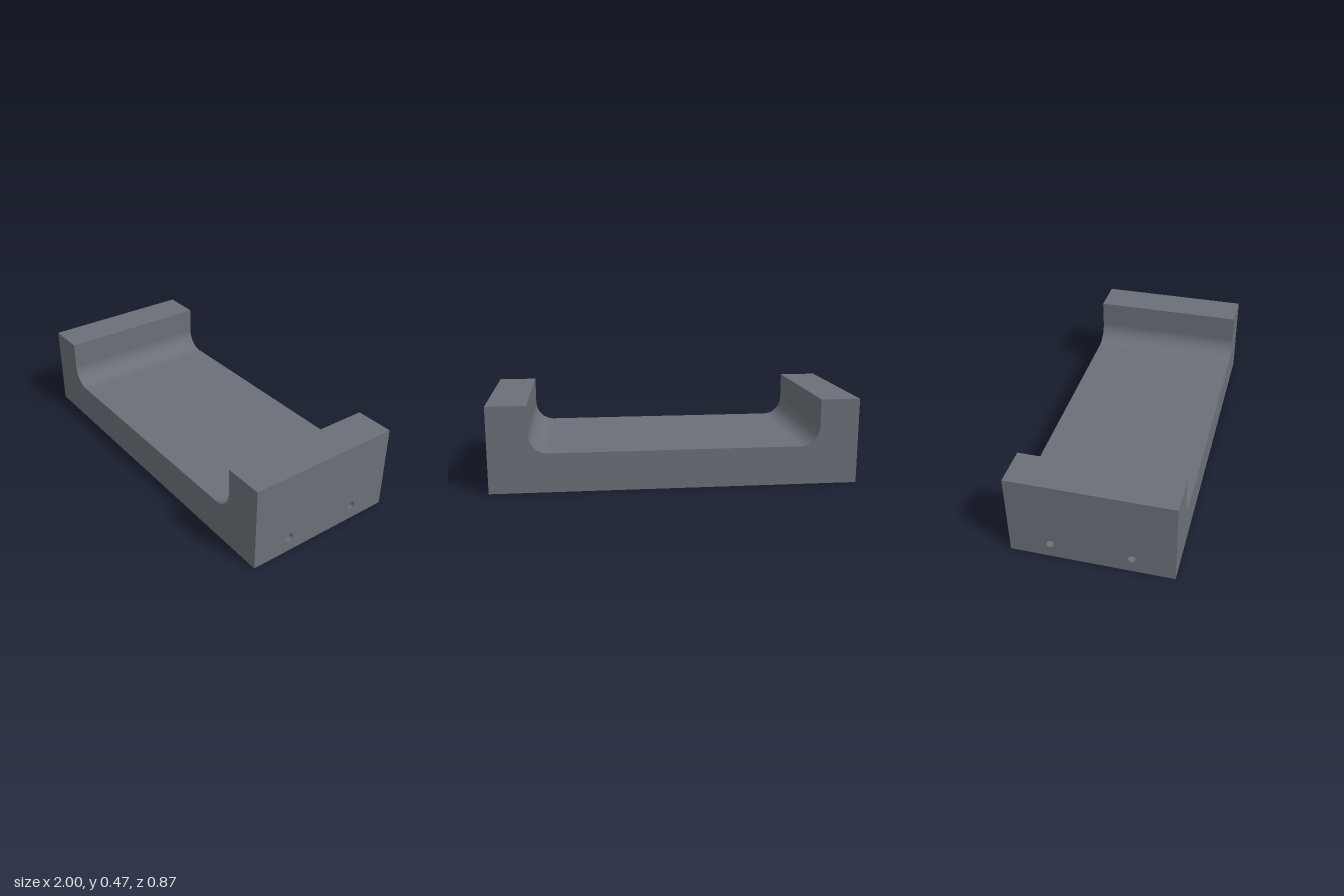
import * as THREE from 'three';

// Half width, height, half depth of the block
const W = 1, H = 0.471, D = 0.435;
// Trough: half width, floor height, fillet radius
const TW = 0.786, TF = 0.214, TR = 0.107;
// Blind holes in the ends
const HOLE = { r: 0.022, y: 0.086, z: 0.214, depth: 0.12 };

// Trough outline from left rim to right rim, each entry [x, y, normalX, normalY]
function troughProfile(steps = 16) {
  const left = [[-TW, H, 1, 0]];
  for (let i = 0; i <= steps; i++) {
    const a = Math.PI + (i / steps) * Math.PI / 2;
    const c = Math.cos(a), s = Math.sin(a);
    left.push([-TW + TR + TR * c, TF + TR + TR * s, -c, -s]);
  }
  const right = left.map(([x, y, nx, ny]) => [-x, y, -nx, ny]).reverse();
  return [...left, ...right];
}

// Sweep the outline from front to back with smooth fillet normals
function sweepTrough(profile) {
  const pos = [], nor = [], idx = [];
  profile.forEach(([x, y, nx, ny], i) => {
    pos.push(x, y, D, x, y, -D);
    nor.push(nx, ny, 0, nx, ny, 0);
    if (i < profile.length - 1) {
      const a = i * 2;
      idx.push(a, a + 2, a + 1, a + 2, a + 3, a + 1);
    }
  });
  const g = new THREE.BufferGeometry();
  g.setAttribute('position', new THREE.Float32BufferAttribute(pos, 3));
  g.setAttribute('normal', new THREE.Float32BufferAttribute(nor, 3));
  g.setIndex(idx);
  return g;
}

export function createModel() {
  const model = new THREE.Group();
  model.name = 'cradleBlock';
  const grey = new THREE.MeshStandardMaterial({ color: 0x6b7078 });
  grey.name = 'slate grey';

  const add = (parent, name, geometry) => {
    const mesh = new THREE.Mesh(geometry, grey);
    mesh.name = name;
    parent.add(mesh);
    return mesh;
  };

  const profile = troughProfile();
  add(model, 'trough', sweepTrough(profile));

  // U-shaped front and back faces
  const outline = new THREE.Shape([
    [-W, H], [-W, 0], [W, 0], [W, H], ...[...profile].reverse(),
  ].map(([x, y]) => new THREE.Vector2(x, y)));
  add(model, 'frontFace', new THREE.ShapeGeometry(outline));
  add(model, 'backFace', new THREE.ShapeGeometry(outline).rotateY(Math.PI)).position.z = -D;
  model.getObjectByName('frontFace').position.z = D;

  // Underside
  add(model, 'underside', new THREE.PlaneGeometry(2 * W, 2 * D).rotateX(Math.PI / 2));

  // Ends: rim top, outer face and two blind holes, built at +x and turned round for -x
  const endShape = new THREE.Shape([
    new THREE.Vector2(-D, 0), new THREE.Vector2(D, 0),
    new THREE.Vector2(D, H), new THREE.Vector2(-D, H),
  ]);
  for (const s of [-1, 1]) {
    endShape.holes.push(new THREE.Path().absarc(s * HOLE.z, HOLE.y, HOLE.r, 0, Math.PI * 2, true));
  }
  for (const side of ['left', 'right']) {
    const end = new THREE.Group();
    end.name = side + 'End';
    if (side === 'right') end.rotation.y = Math.PI;
    model.add(end);

    const rim = add(end, side + 'RimTop', new THREE.PlaneGeometry(W - TW, 2 * D).rotateX(-Math.PI / 2));
    rim.position.set((W + TW) / 2, H, 0);
    const face = add(end, side + 'EndFace', new THREE.ShapeGeometry(endShape, 24).rotateY(Math.PI / 2));
    face.position.x = W;

    for (const s of [-1, 1]) {
      // Profile runs inward so the wall faces the hole axis
      const wall = new THREE.LatheGeometry(
        [new THREE.Vector2(HOLE.r, HOLE.depth), new THREE.Vector2(HOLE.r, 0)], 48);
      add(end, side + 'HoleWall', wall.rotateZ(-Math.PI / 2))
        .position.set(W - HOLE.depth, HOLE.y, s * HOLE.z);
      add(end, side + 'HoleFloor', new THREE.CircleGeometry(HOLE.r, 48).rotateY(Math.PI / 2))
        .position.set(W - HOLE.depth, HOLE.y, s * HOLE.z);
    }
  }
  return model;
}
